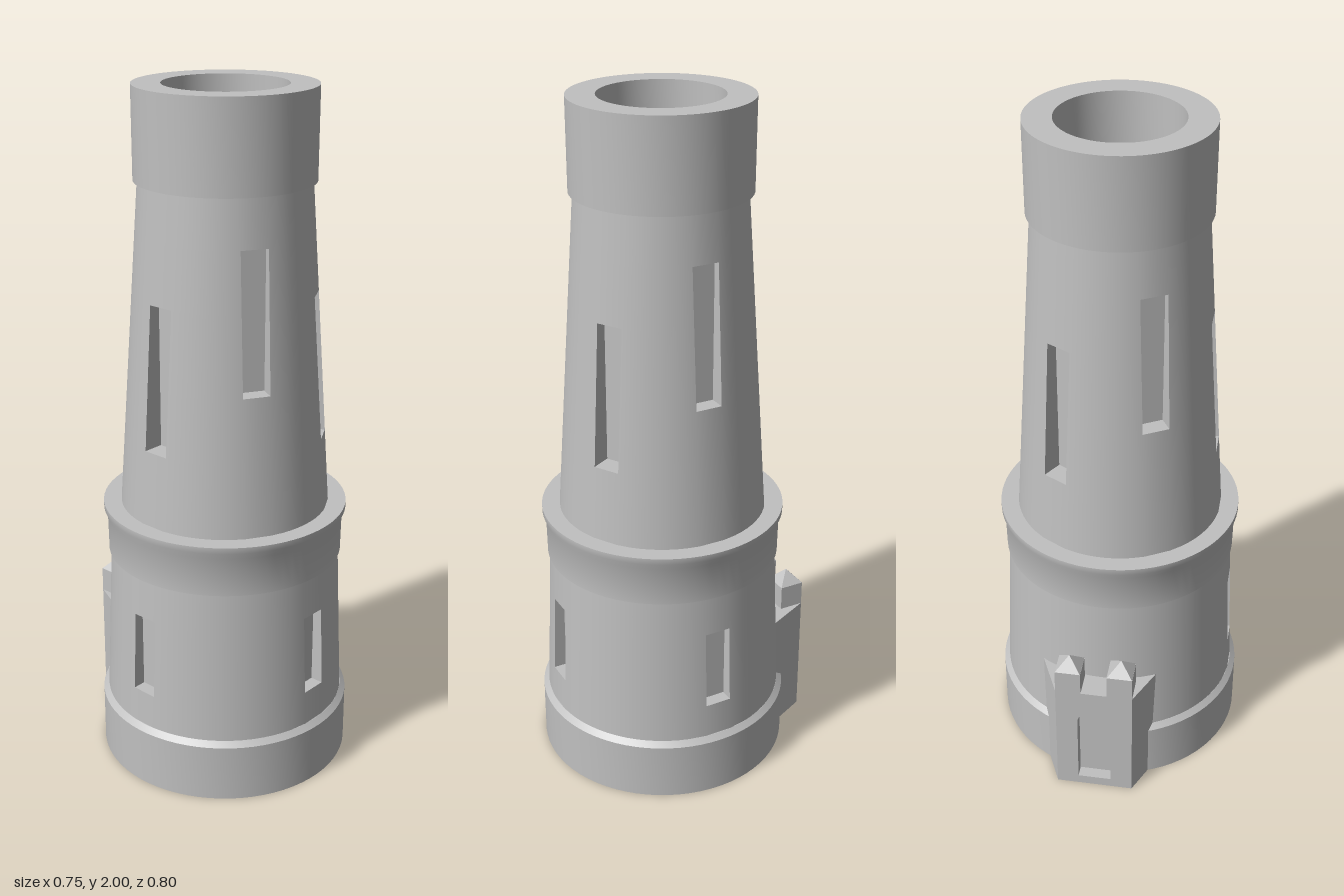
import * as THREE from 'three';
import { toCreasedNormals } from 'three/addons/utils/BufferGeometryUtils.js';

const stone = new THREE.MeshStandardMaterial({ color: 0xc0c0c0 });
stone.name = 'stone grey';
const SIDES = 72;
const HALF = 0.039; // half width of every window slot
const deg = Math.PI / 180;

function part(name, geometry, parent) {
  const mesh = new THREE.Mesh(geometry, stone);
  mesh.name = name;
  parent.add(mesh);
  return mesh;
}

// Turned part with sharp profile edges
function turned(points) {
  const profile = points.map(([r, y]) => new THREE.Vector2(r, y));
  return toCreasedNormals(new THREE.LatheGeometry(profile, SIDES), 0.5);
}

function quad(out, a, b, c, d) {
  out.push(...a, ...b, ...c, ...a, ...c, ...d);
}

// Tapered round wall with recessed window slots: { angle, bottom, top }
function slottedWall(name, y0, r0, y1, r1, slots, floorRadius, parent) {
  const radius = y => r0 + (r1 - r0) * (y - y0) / (y1 - y0);
  const slope = (r0 - r1) / (y1 - y0);

  // Columns: regular angles, replaced by two edge columns at each slot
  const columns = [];
  for (let i = 0; i < SIDES; i++) {
    const angle = (i * 360) / SIDES - 180;
    const near = slots.some(s => Math.abs(((angle - s.angle + 540) % 360) - 180) < 11);
    if (!near) columns.push({ angle, side: 0 });
  }
  for (const s of slots) {
    columns.push({ angle: s.angle, side: -1, slot: s }, { angle: s.angle, side: 1 });
  }
  columns.sort((a, b) => a.angle - b.angle || a.side - b.side);
  const levels = [...new Set([y0, y1, ...slots.flatMap(s => [s.bottom, s.top])])].sort((a, b) => a - b);

  const theta = (c, y) => c.angle * deg + c.side * Math.asin(HALF / radius(y));
  const point = (c, y) => [radius(y) * Math.sin(theta(c, y)), y, radius(y) * Math.cos(theta(c, y))];
  const normal = (c, y) => new THREE.Vector3(Math.sin(theta(c, y)), slope, Math.cos(theta(c, y))).normalize().toArray();

  const positions = [], normals = [];
  columns.forEach((a, i) => {
    const b = columns[(i + 1) % columns.length];
    for (let k = 0; k < levels.length - 1; k++) {
      const lo = levels[k], hi = levels[k + 1];
      if (a.slot && lo >= a.slot.bottom && hi <= a.slot.top) continue;
      quad(positions, point(a, lo), point(b, lo), point(b, hi), point(a, hi));
      quad(normals, normal(a, lo), normal(b, lo), normal(b, hi), normal(a, hi));
    }
  });
  const wall = new THREE.BufferGeometry();
  wall.setAttribute('position', new THREE.Float32BufferAttribute(positions, 3));
  wall.setAttribute('normal', new THREE.Float32BufferAttribute(normals, 3));
  part(name, wall, parent);

  // Recess behind each opening
  for (const s of slots) {
    const corner = (side, y, deep) =>
      [side * HALF, y, deep ? floorRadius : Math.sqrt(radius(y) ** 2 - HALF ** 2)];
    const [fl, fr, bl, br] = [[-1, 0], [1, 0], [-1, 1], [1, 1]].map(([side, deep]) =>
      [corner(side, s.bottom, deep), corner(side, s.top, deep)]);
    const out = [];
    quad(out, bl[0], br[0], br[1], bl[1]);
    quad(out, fl[0], fr[0], br[0], bl[0]);
    quad(out, bl[1], br[1], fr[1], fl[1]);
    quad(out, fl[0], bl[0], bl[1], fl[1]);
    quad(out, br[0], fr[0], fr[1], br[1]);
    const recess = new THREE.BufferGeometry();
    recess.setAttribute('position', new THREE.Float32BufferAttribute(out, 3));
    recess.computeVertexNormals();
    part('windowRecess', recess, parent).rotation.y = s.angle * deg;
  }
}

function createGatehouse() {
  const gate = new THREE.Group();
  gate.name = 'gatehouse';
  const height = 0.38, half = 0.115, flare = 0.46, recess = 0.035, depth = 0.18;

  // Front slab with arched doorway; its sides flare towards the tower
  const face = new THREE.Shape();
  face.moveTo(-half, 0).lineTo(half, 0).lineTo(half, height).lineTo(-half, height).closePath();
  const door = new THREE.Path();
  door.moveTo(-0.05, 0.03).lineTo(-0.05, 0.26);
  door.absarc(0, 0.26, 0.05, Math.PI, 0, true);
  door.lineTo(0.05, 0.03).closePath();
  face.holes.push(door);
  const slab = new THREE.ExtrudeGeometry(face, { depth: recess, bevelEnabled: false, curveSegments: 16 });
  const p = slab.attributes.position;
  for (let i = 0; i < p.count; i++) {
    const x = p.getX(i);
    if (Math.abs(x) > 0.1) p.setX(i, x + Math.sign(x) * flare * (recess - p.getZ(i)));
  }
  slab.computeVertexNormals();
  part('gateFront', slab, gate).position.z = -recess;

  // Body behind the slab, running into the tower
  const w0 = half + flare * recess, w1 = half + flare * depth;
  const plan = new THREE.Shape();
  plan.moveTo(-w0, recess).lineTo(w0, recess).lineTo(w1, depth).lineTo(-w1, depth).closePath();
  const body = new THREE.ExtrudeGeometry(plan, { depth: height, bevelEnabled: false });
  body.rotateX(-Math.PI / 2).translate(0, 0, 0);
  part('gateBody', body, gate);

  // Two corner turrets with pyramid roofs
  for (const side of [-1, 1]) {
    const x = side * (half - 0.038);
    part('turret', new THREE.BoxGeometry(0.076, 0.075, 0.074), gate).position.set(x, height + 0.0375, -0.037);
    const roof = new THREE.ConeGeometry(0.0375 * Math.SQRT2, 0.04, 4, 1, true).toNonIndexed();
    roof.rotateY(Math.PI / 4);
    roof.computeVertexNormals();
    part('turretRoof', roof, gate).position.set(x, height + 0.095, -0.037);
  }
  gate.rotation.y = Math.PI;
  gate.position.set(0.01, 0, -0.4);
  return gate;
}

export function createModel() {
  const model = new THREE.Group();
  model.name = 'roundTower';
  const tower = new THREE.Group();
  tower.name = 'tower';
  tower.position.z = 0.027;
  model.add(tower);

  part('base', turned([[0, 0], [0.373, 0], [0.373, 0.172], [0.357, 0.187], [0.3, 0.187]]), tower);

  slottedWall('lowerWall', 0.18, 0.357, 0.66, 0.337,
    [-90, 0, 90].map(angle => ({ angle, bottom: 0.29, top: 0.53 })), 0.312, tower);

  part('balconyRing', turned([[0.3, 0.65], [0.344, 0.65], [0.346, 0.765], [0.356, 0.785], [0.356, 0.803], [0.28, 0.803]]), tower);

  // Upper slots alternate between a high and a low row
  const upperSlots = [-150, -90, -30, 30, 90, 150].map((angle, i) =>
    i % 2 === 0 ? { angle, bottom: 1.205, top: 1.605 } : { angle, bottom: 1.02, top: 1.435 });
  slottedWall('upperWall', 0.8, 0.304, 1.75, 0.24, upperSlots, 0.225, tower);

  part('crown', turned([[0.2, 1.743], [0.252, 1.743], [0.253, 2], [0.173, 2], [0.173, 1.855], [0, 1.855]]), tower);

  model.add(createGatehouse());
  return model;
}
